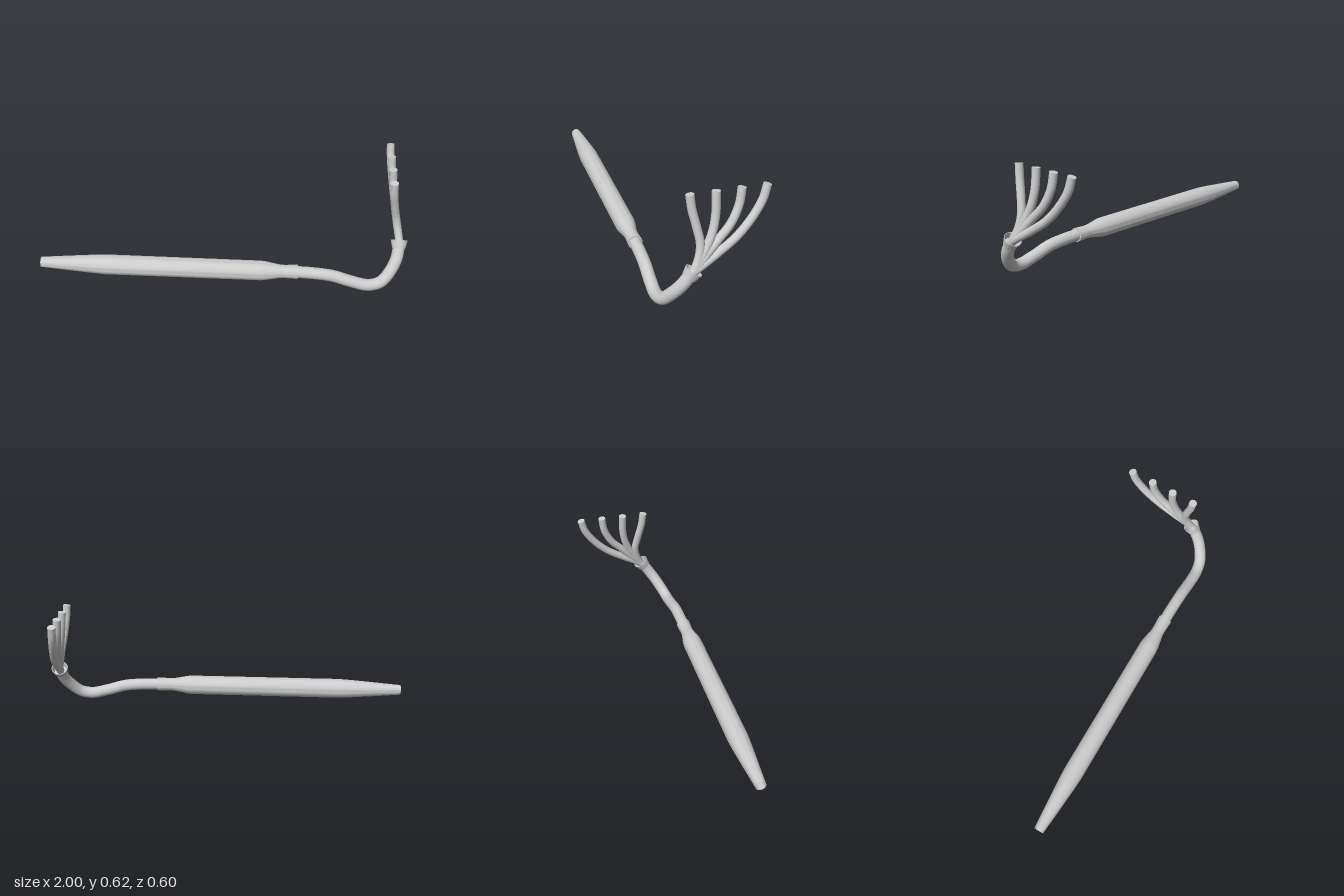
import * as THREE from 'three';
import { toCreasedNormals } from 'three/addons/utils/BufferGeometryUtils.js';

const steel = new THREE.MeshStandardMaterial({ color: 0xcccccc });
steel.name = 'steel';
const V = (x, y, z) => new THREE.Vector3(x, y, z);
const UP = V(0, 1, 0);

function add(parent, name, geometry) {
  const mesh = new THREE.Mesh(geometry, steel);
  mesh.name = name;
  parent.add(mesh);
  return mesh;
}

// Turned part: profile of [radius, distance along axis], laid from one point towards another
function turned(parent, name, profile, from, to) {
  const points = profile.map(([r, d]) => new THREE.Vector2(r, d));
  const mesh = add(parent, name, toCreasedNormals(new THREE.LatheGeometry(points, 40), 0.5));
  mesh.position.copy(from);
  mesh.quaternion.setFromUnitVectors(UP, to.clone().sub(from).normalize());
}

// Round pipe along a smooth path, with a flat disc on its far end
function pipe(parent, name, points, radius) {
  const group = new THREE.Group();
  group.name = name;
  const curve = new THREE.CatmullRomCurve3(points);
  add(group, name + 'Wall', new THREE.TubeGeometry(curve, 64, radius, 28));
  const cap = add(group, name + 'End', new THREE.CircleGeometry(radius, 28));
  cap.position.copy(curve.getPoint(1));
  cap.quaternion.setFromUnitVectors(V(0, 0, 1), curve.getTangent(1));
  parent.add(group);
}

export function createModel() {
  const model = new THREE.Group();
  model.name = 'exhaustSystem';

  // Silencer with an open tapered tail and a sleeve at its inlet
  turned(model, 'muffler', [
    [0, 0.2], [0.025, 0.2], [0.025, 0], [0.028, 0], [0.041, 0.16], [0.051, 0.29], [0.055, 0.36],
    [0.054, 1.21], [0.052, 1.235], [0.038, 1.31], [0.036, 1.34], [0.039, 1.412], [0, 1.412],
  ], V(-1, 0.087, 0.25), V(0.41, 0.098, 0.233));

  // Bent pipe from the silencer up to the collector
  pipe(model, 'downPipe', [
    V(0.38, 0.098, 0.233), V(0.5, 0.095, 0.233), V(0.6, 0.085, 0.234), V(0.71, 0.053, 0.236),
    V(0.8, 0.034, 0.234), V(0.865, 0.05, 0.221), V(0.915, 0.105, 0.187),
    V(0.943, 0.16, 0.15), V(0.953, 0.212, 0.114),
  ], 0.0325);

  // Flared collector cup
  turned(model, 'collector', [
    [0, 0], [0.036, 0], [0.046, 0.043], [0.043, 0.043], [0.034, 0.012], [0, 0.012],
  ], V(0.953, 0.207, 0.117), V(0.953, 0.241, 0.093));

  // Four runners fanning out of the collector, as [y, z] along each path
  const runners = [
    [[0.246, 0.088], [0.309, 0.061], [0.371, 0.054], [0.443, 0.067], [0.541, 0.089], [0.617, 0.098]],
    [[0.243, 0.089], [0.291, 0.055], [0.362, 0.014], [0.434, -0.014], [0.514, -0.028], [0.617, -0.03]],
    [[0.244, 0.086], [0.3, 0.032], [0.371, -0.034], [0.443, -0.1], [0.532, -0.143], [0.617, -0.157]],
    [[0.242, 0.078], [0.306, -0.028], [0.374, -0.127], [0.452, -0.203], [0.541, -0.261], [0.617, -0.284]],
  ];
  const leanAt = (y) => 0.89 + 0.062 * Math.pow((0.617 - y) / 0.374, 1.4);
  runners.forEach((path, i) => {
    const points = [V(0.953, 0.218, 0.109), ...path.map(([y, z]) => V(leanAt(y), y, z))];
    pipe(model, 'runner' + (i + 1), points, 0.0213);
  });

  return model;
}
